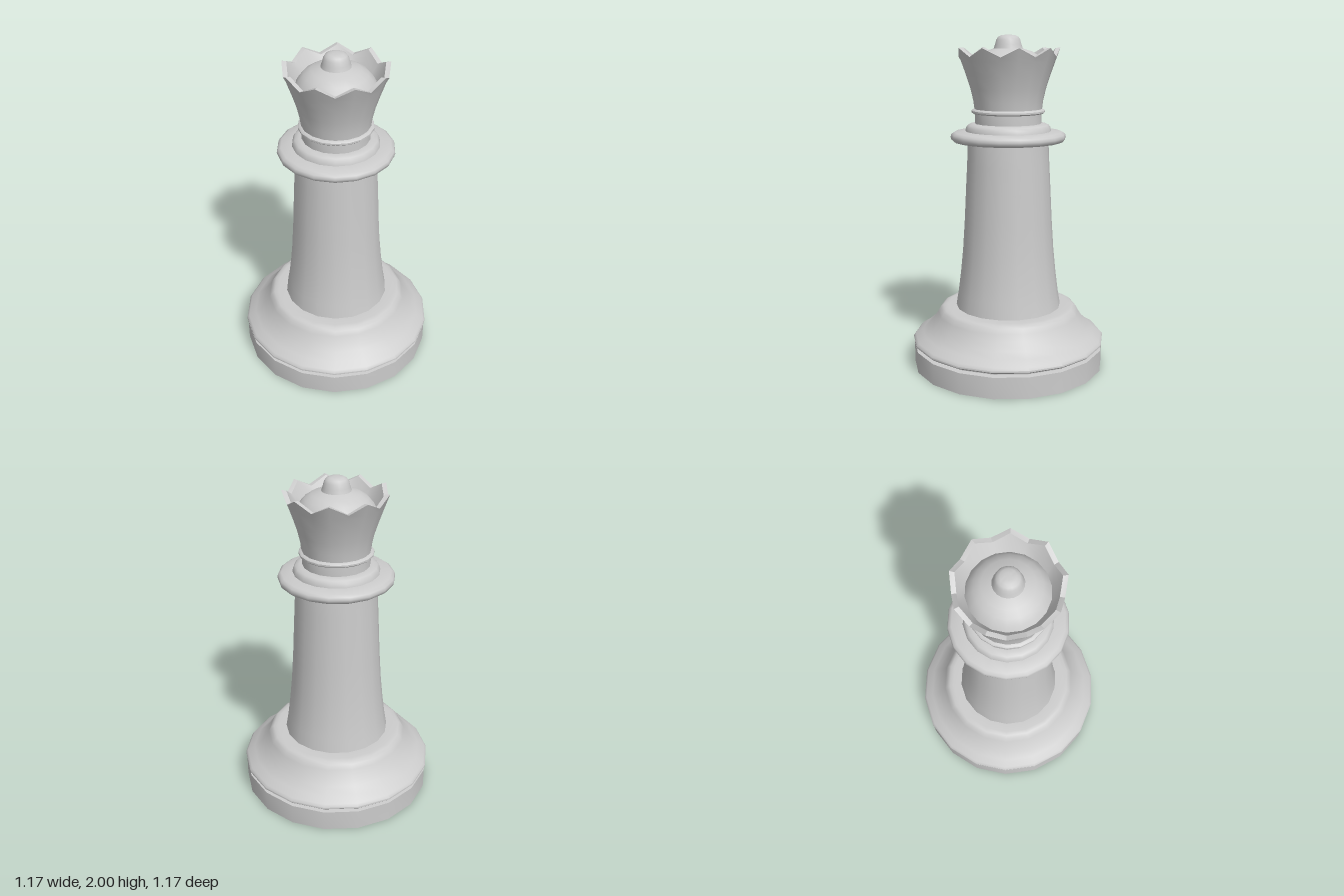
import * as THREE from 'three';
import { toCreasedNormals } from 'three/addons/utils/BufferGeometryUtils.js';

const SIDES = 18;
const TURN = THREE.MathUtils.degToRad(2.9);

const material = new THREE.MeshStandardMaterial({ color: 0xcccccc, side: THREE.DoubleSide });

// Turned part from [radius, height] pairs; reshape may move the vertices of each side
function turned(name, profile, reshape) {
  const points = profile.map(([r, y]) => new THREE.Vector2(r, y));
  const geometry = new THREE.LatheGeometry(points, SIDES, TURN);
  if (reshape) {
    const pos = geometry.attributes.position;
    for (let side = 0; side <= SIDES; side++) {
      for (let j = 0; j < points.length; j++) reshape(pos, side * points.length + j, side, j);
    }
  }
  const mesh = new THREE.Mesh(toCreasedNormals(geometry, 0.75), material);
  mesh.name = name;
  return mesh;
}

export function createModel() {
  const group = new THREE.Group();
  group.name = 'chessQueen';

  // Hollow base, open underneath: plinth, groove, lip and swept shoulder
  group.add(turned('base', [
    [0.583, 0], [0.583, 0.128], [0.545, 0.13], [0.545, 0.148],
    [0.58, 0.15], [0.588, 0.158], [0.588, 0.168], [0.575, 0.183],
    [0.53, 0.21], [0.49, 0.245], [0.455, 0.29], [0.433, 0.325],
    [0.418, 0.353], [0.4, 0.366], [0.375, 0.37], [0.32, 0.37],
  ]));

  // Tapered stem
  group.add(turned('stem', [
    [0.32, 0.37], [0.305, 0.46], [0.29, 0.58], [0.276, 0.72],
    [0.264, 0.9], [0.254, 1.1], [0.246, 1.25], [0.24, 1.382],
  ]));

  // Wide collar with a smaller rounded step on top
  group.add(turned('collar', [
    [0.24, 1.382], [0.325, 1.382], [0.338, 1.391], [0.343, 1.408],
    [0.338, 1.425], [0.32, 1.437], [0.255, 1.443], [0.25, 1.465],
    [0.238, 1.48], [0.215, 1.487], [0.198, 1.488],
  ]));

  // Neck with a thin bead
  group.add(turned('neck', [
    [0.198, 1.488], [0.198, 1.545], [0.211, 1.547], [0.218, 1.553],
    [0.218, 1.563], [0.211, 1.57], [0.2, 1.573],
  ]));

  // Flared crown: every second side of the rim drops to form nine points
  const crownProfile = [
    [0.2, 1.573], [0.206, 1.62], [0.222, 1.69], [0.246, 1.765], [0.276, 1.85],
    [0.304, 1.927], [0.276, 1.925], [0.225, 1.817],
  ];
  group.add(turned('crown', crownProfile, (pos, i, side, j) => {
    if (side % 2 === 1 || (j !== 5 && j !== 6)) return;
    const k = 0.955;
    pos.setXYZ(i, pos.getX(i) * k, pos.getY(i) - 0.05, pos.getZ(i) * k);
  }));

  // Domed cap inside the crown
  group.add(turned('dome', [
    [0.225, 1.817], [0.208, 1.848], [0.18, 1.88], [0.14, 1.905], [0.085, 1.922],
  ]));

  // Rounded finial
  group.add(turned('finial', [
    [0.085, 1.922], [0.077, 1.945], [0.07, 1.972], [0.06, 1.988],
    [0.043, 1.997], [0.02, 2], [0, 2],
  ]));

  return group;
}
